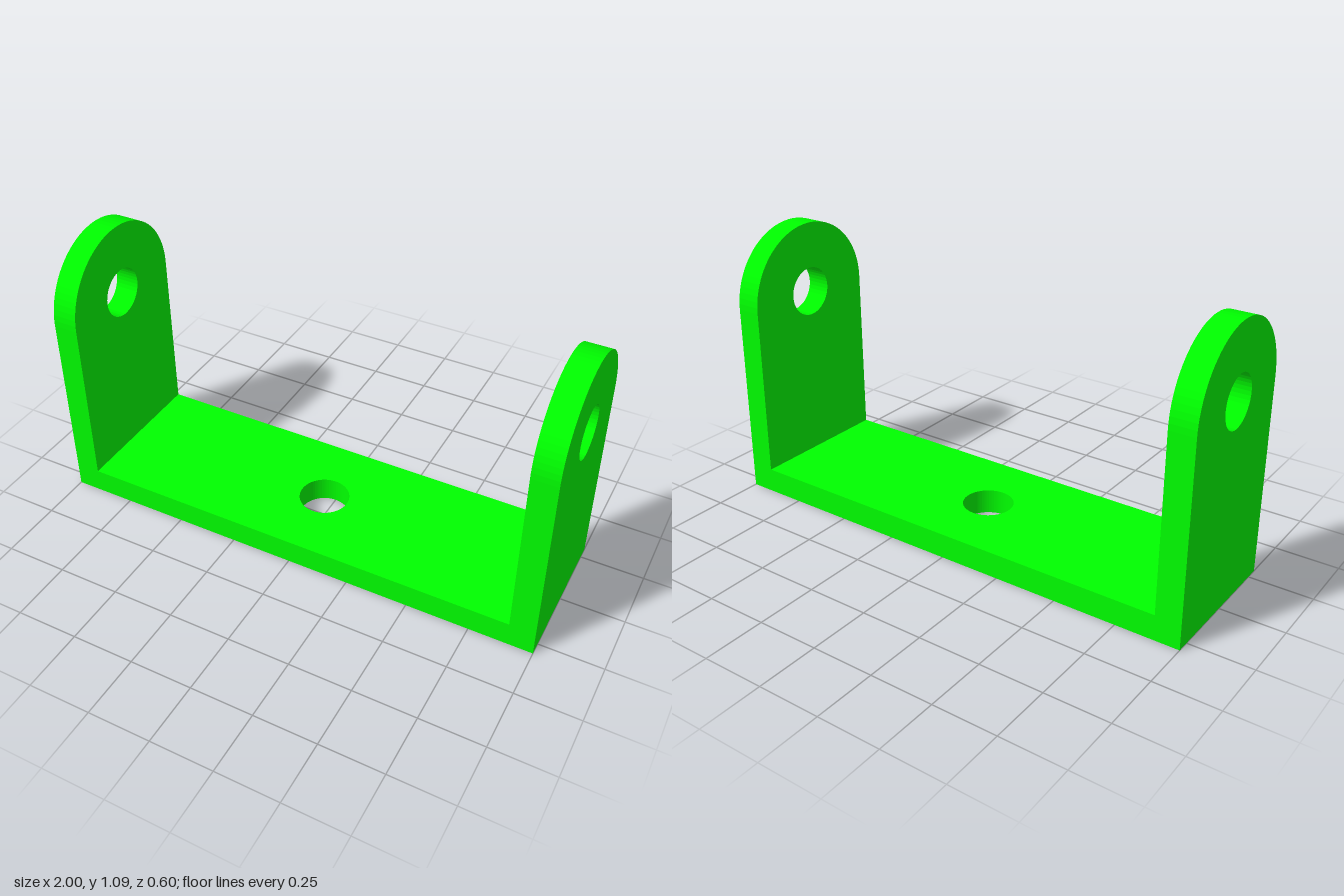
import * as THREE from 'three';

const T = 0.1;        // plate thickness
const HALF_W = 0.3;   // half width of the bracket
const HOLE_R = 0.1;

function addHole(shape, x, y) {
  const hole = new THREE.Path();
  hole.absarc(x, y, HOLE_R, 0, Math.PI * 2, true);
  shape.holes.push(hole);
}

function extrude(shape, curveSegments) {
  return new THREE.ExtrudeGeometry(shape, { depth: T, bevelEnabled: false, curveSegments });
}

export function createModel() {
  const group = new THREE.Group();
  group.name = 'uBracket';
  const material = new THREE.MeshStandardMaterial({ color: 0x00ff00 });

  // Base plate with a central mounting hole
  const inner = 1 - T;
  const baseShape = new THREE.Shape([
    new THREE.Vector2(-inner, -HALF_W), new THREE.Vector2(inner, -HALF_W),
    new THREE.Vector2(inner, HALF_W), new THREE.Vector2(-inner, HALF_W),
  ]);
  addHole(baseShape, 0, 0);
  const base = new THREE.Mesh(extrude(baseShape, 32).rotateX(-Math.PI / 2), material);
  base.name = 'basePlate';
  group.add(base);

  // Round-topped side arms with pivot holes
  const armShape = new THREE.Shape();
  armShape.moveTo(-HALF_W, 0);
  armShape.lineTo(HALF_W, 0);
  armShape.absarc(0, 0.787, HALF_W, 0, Math.PI, false);
  armShape.closePath();
  addHole(armShape, 0, 0.8);
  const armGeometry = extrude(armShape, 20).rotateY(-Math.PI / 2);
  for (const [name, x] of [['leftArm', 1], ['rightArm', -1 + T]]) {
    const arm = new THREE.Mesh(armGeometry, material);
    arm.name = name;
    arm.position.x = x;
    group.add(arm);
  }
  return group;
}
